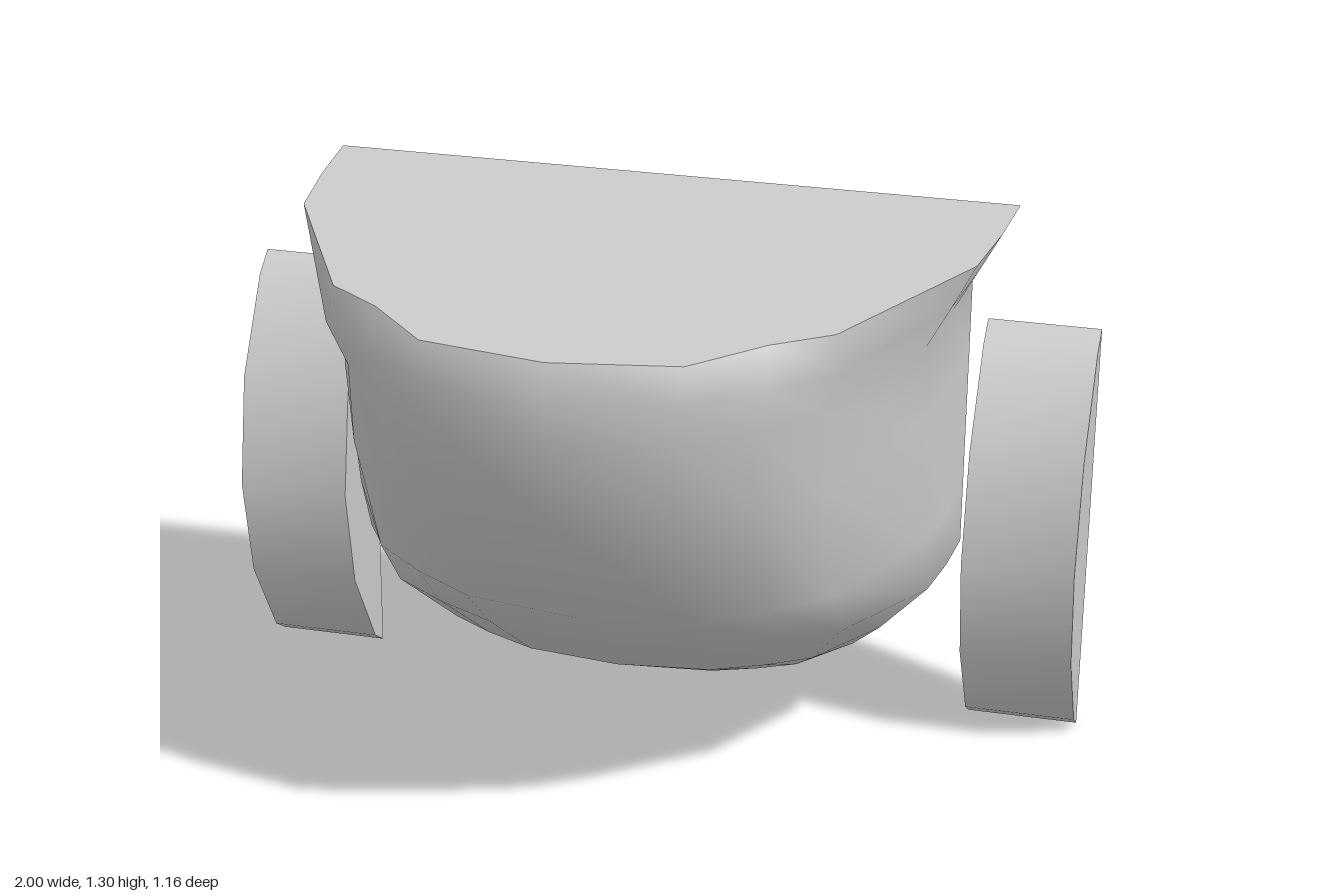
import * as THREE from 'three';
import { toCreasedNormals } from 'three/addons/utils/BufferGeometryUtils.js';

const BACK = -0.58;

// Half ring from front centre to back corner: [fraction of width, fraction of depth]
const LIP = [[0, 1], [0.35, 0.956], [0.525, 0.823], [0.68, 0.743], [0.955, 0.345], [0.985, 0.168], [1, 0]];
const BOWL = [[0, 1], [0.37, 0.95], [0.57, 0.85], [0.74, 0.735], [0.955, 0.38], [0.985, 0.19], [1, 0]];

// Levels from rim to keel: [height, half width at back, z at front]
const LEVELS = [
  [1.3, 0.8, 0.55], [1.22, 0.755, 0.58], [1.12, 0.7, 0.56], [0.93, 0.7, 0.53], [0.6, 0.7, 0.31],
  [0.45, 0.7, 0.13], [0.3, 0.575, -0.05], [0.22, 0.5, -0.2], [0.1, 0.27, -0.46], [0.06, 0, BACK],
];

// Full ring running from the left back corner, round the front, to the right back corner
function ring([y, width, front], level) {
  const half = (level === 0 ? LIP : BOWL).map(([u, v]) => [u * width, y, BACK + v * (front - BACK)]);
  const right = half.slice(1).map(([x, h, z]) => [-x, h, z]);
  return [...half.reverse(), ...right];
}

function hullGeometry(rings) {
  const n = rings[0].length;
  const index = [];
  for (let j = 0; j < rings.length - 1; j++) {
    for (let i = 0; i < n - 1; i++) {
      const a = j * n + i, b = a + 1, c = a + n, d = c + 1;
      index.push(a, b, c);
      if (j < rings.length - 2) index.push(b, d, c);
    }
  }
  const geometry = new THREE.BufferGeometry();
  geometry.setAttribute('position', new THREE.Float32BufferAttribute(rings.flat(2), 3));
  geometry.setIndex(index);
  geometry.computeVertexNormals();
  return geometry;
}

const shapeOf = (points) => new THREE.Shape(points.map(([x, y]) => new THREE.Vector2(x, y)));

export function createModel() {
  const group = new THREE.Group();
  const material = new THREE.MeshStandardMaterial({ color: 0xcccccc });
  const add = (name, geometry) => {
    const mesh = new THREE.Mesh(geometry, material);
    mesh.name = name;
    group.add(mesh);
    return mesh;
  };

  // Rounded bowl with a flared rim
  const rings = LEVELS.map(ring);
  add('bowl', hullGeometry(rings));

  // Flat top
  const top = new THREE.ShapeGeometry(shapeOf(rings[0].map(([x, , z]) => [x, -z])));
  add('topPanel', top.rotateX(-Math.PI / 2)).position.y = LEVELS[0][0];

  // Flat back, outlined by the ring ends
  const side = LEVELS.map(([y, w]) => [w, y]);
  const otherSide = side.slice(0, -1).reverse().map(([x, y]) => [-x, y]);
  const back = new THREE.ShapeGeometry(shapeOf([...side, ...otherSide]));
  add('backPanel', back.rotateY(Math.PI)).position.z = BACK;

  // Half-round side pads, drawn in (z, y) and extruded along x
  const pad = new THREE.ExtrudeGeometry(shapeOf([
    [BACK, 0], [-0.52, 0.04], [-0.38, 0.26], [-0.33, 0.51], [-0.38, 0.77], [-0.52, 0.98], [BACK, 1.02],
  ]), { depth: 0.26, bevelEnabled: false });
  const padGeometry = toCreasedNormals(pad.rotateY(-Math.PI / 2), 0.7);
  add('leftPad', padGeometry).position.x = 1;
  add('rightPad', padGeometry).position.x = -0.74;

  return group;
}
